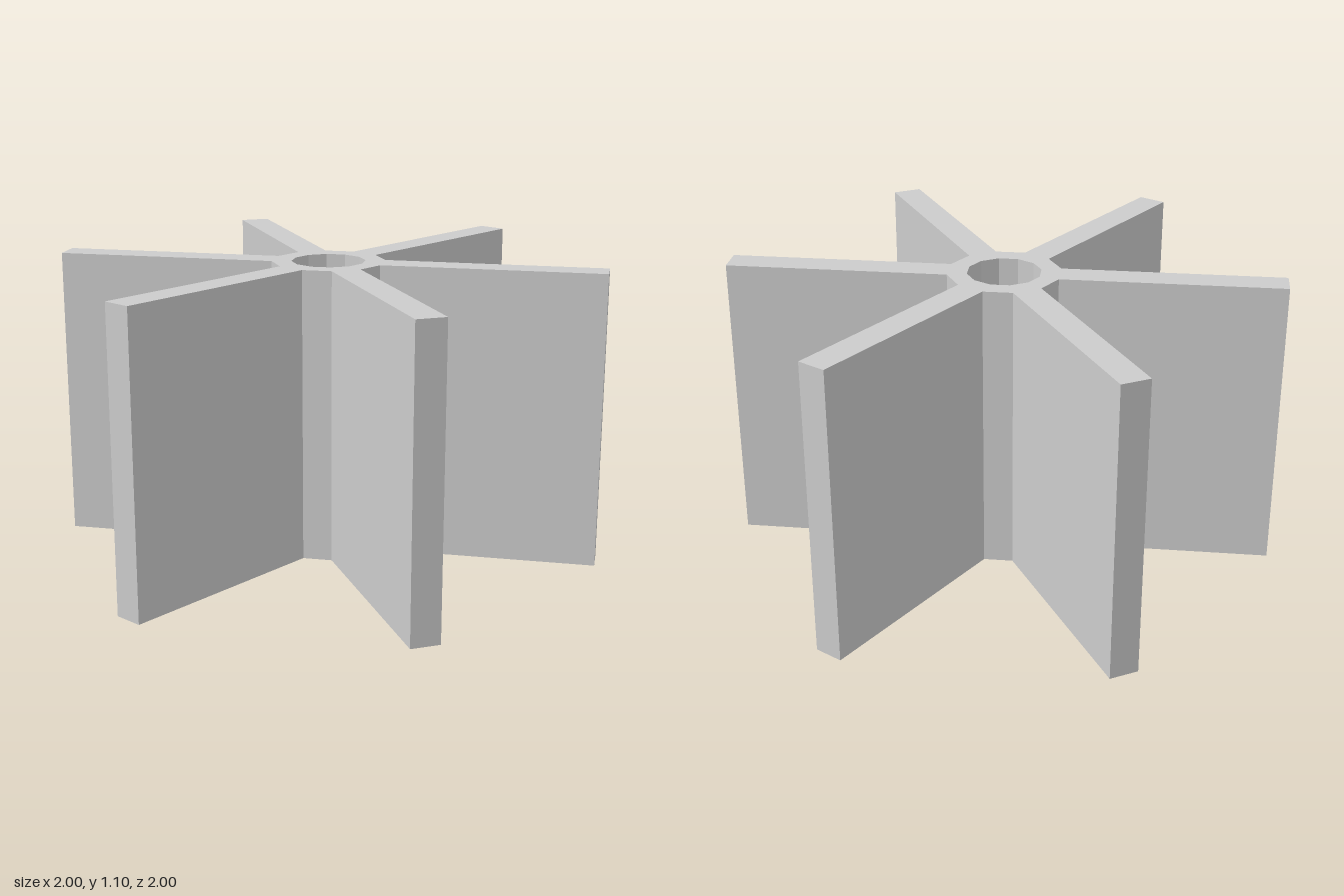
import * as THREE from 'three';

const ARMS = 6, HEIGHT = 1.1;
const HUB_R = 0.21, HOLE_R = 0.137, TIP_R = 1.0207;

export function createModel() {
  const group = new THREE.Group();
  group.name = 'paddleWheel';
  const material = new THREE.MeshStandardMaterial({ color: 0xcccccc, flatShading: true });

  // Plan outline: each straight blade spans one side of a twelve-sided hub
  const step = Math.PI / 6;
  const halfWidth = HUB_R * Math.sin(step / 2);
  const polar = (r, a) => new THREE.Vector2(r * Math.cos(a), r * Math.sin(a));
  const outline = [];
  for (let i = 0; i < ARMS; i++) {
    const start = i * 2 * step, mid = start + step / 2;
    const tip = polar(TIP_R, mid), side = polar(halfWidth, mid + Math.PI / 2);
    outline.push(
      polar(HUB_R, start),
      tip.clone().sub(side),
      tip.clone().add(side),
      polar(HUB_R, start + step)
    );
  }
  const shape = new THREE.Shape(outline);

  // Twelve-sided axle bore through the hub
  const bore = [];
  for (let i = 0; i < 12; i++) bore.push(polar(HOLE_R, -i * step));
  shape.holes.push(new THREE.Path(bore));

  // Lay the plan flat, with its second axis along +z, standing on y = 0
  const geometry = new THREE.ExtrudeGeometry(shape, { depth: HEIGHT, bevelEnabled: false });
  geometry.rotateX(Math.PI / 2).translate(0, HEIGHT, 0);

  const wheel = new THREE.Mesh(geometry, material);
  wheel.name = 'hubAndBlades';
  group.add(wheel);
  return group;
}
